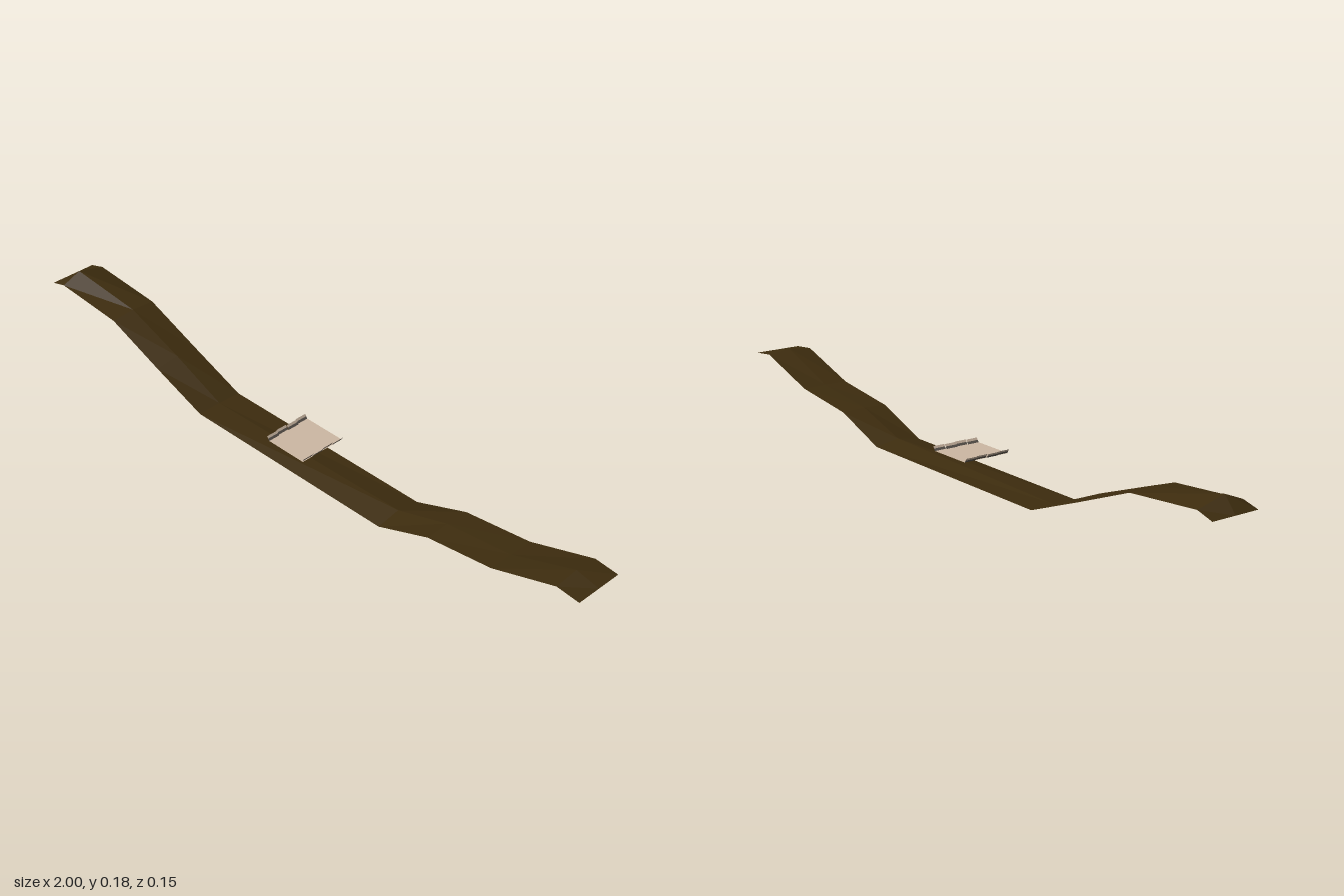
import * as THREE from 'three';

const mat = (name, color) => new THREE.MeshStandardMaterial({ name, color, side: THREE.DoubleSide, flatShading: true });

// Surface lofted through rows of [x, y, z] points, facing up
function loft(rows, material, name) {
  const n = rows[0].length, index = [];
  for (let i = 0; i < rows.length - 1; i++) {
    for (let j = 0; j < n - 1; j++) {
      const a = i * n + j, b = a + n;
      index.push(a, a + 1, b, a + 1, b + 1, b);
    }
  }
  const g = new THREE.BufferGeometry();
  g.setAttribute('position', new THREE.Float32BufferAttribute(rows.flat(2), 3));
  g.setIndex(index.reverse());
  g.computeVertexNormals();
  const mesh = new THREE.Mesh(g, material);
  mesh.name = name;
  return mesh;
}

export function createModel() {
  const model = new THREE.Group();
  model.name = 'valleyWithFootbridge';
  const earth = mat('darkEarth', 0x3d2c0e);
  const planks = mat('paleWood', 0xcdb8a3);
  const iron = mat('greyRail', 0x5c564f);

  // Ground strip: x, height at the back, ridge and front, and ridge z
  const W = 0.073;
  const stations = [
    [-1, 0.145, 0.145, 0.145, 0],
    [-0.95, 0.16, 0.182, 0.158, 0.013],
    [-0.72, 0.142, 0.146, 0.14, 0],
    [-0.53, 0.068, 0.077, 0.066, 0],
    [-0.35, 0, 0.002, 0, 0],
    [0.35, 0.003, 0.016, 0.002, 0],
    [0.52, 0.067, 0.07, 0.066, 0],
    [0.73, 0.094, 0.095, 0.094, 0],
    [0.93, 0.16, 0.168, 0.16, 0],
    [1, 0.153, 0.153, 0.153, 0],
  ];
  model.add(loft(stations.map(([x, back, ridge, front, z]) =>
    [[x, back, -W], [x, ridge, z], [x, front, W]]), earth, 'ground'));

  // Footbridge deck
  const bridge = new THREE.Group();
  bridge.name = 'footbridge';
  const y = 0.058;
  bridge.add(loft([[[-0.067, y, -W], [-0.067, y, W]], [[0.067, y, -W], [0.067, y, W]]], planks, 'deck'));

  // Low side rails leaning outward, in jogged sections
  const sections = 4, len = 2 * W / sections;
  for (const s of [-1, 1]) {
    for (let i = 0; i < sections; i++) {
      const z0 = -W + i * len, z1 = z0 + len;
      const x = s * (i % 2 ? 0.064 : 0.067);
      const profile = [[x, y], [x + s * 0.004, y + 0.006], [x + s * 0.008, y + 0.012]];
      for (let k = 0; k < 2; k++) {
        const rows = [profile[k], profile[k + 1]].map(([px, py]) => [[px, py, z0], [px, py, z1]]);
        if (s < 0) rows.reverse();
        bridge.add(loft(rows, k ? planks : iron, k ? 'railCap' : 'railFoot'));
      }
    }
  }
  model.add(bridge);
  return model;
}
